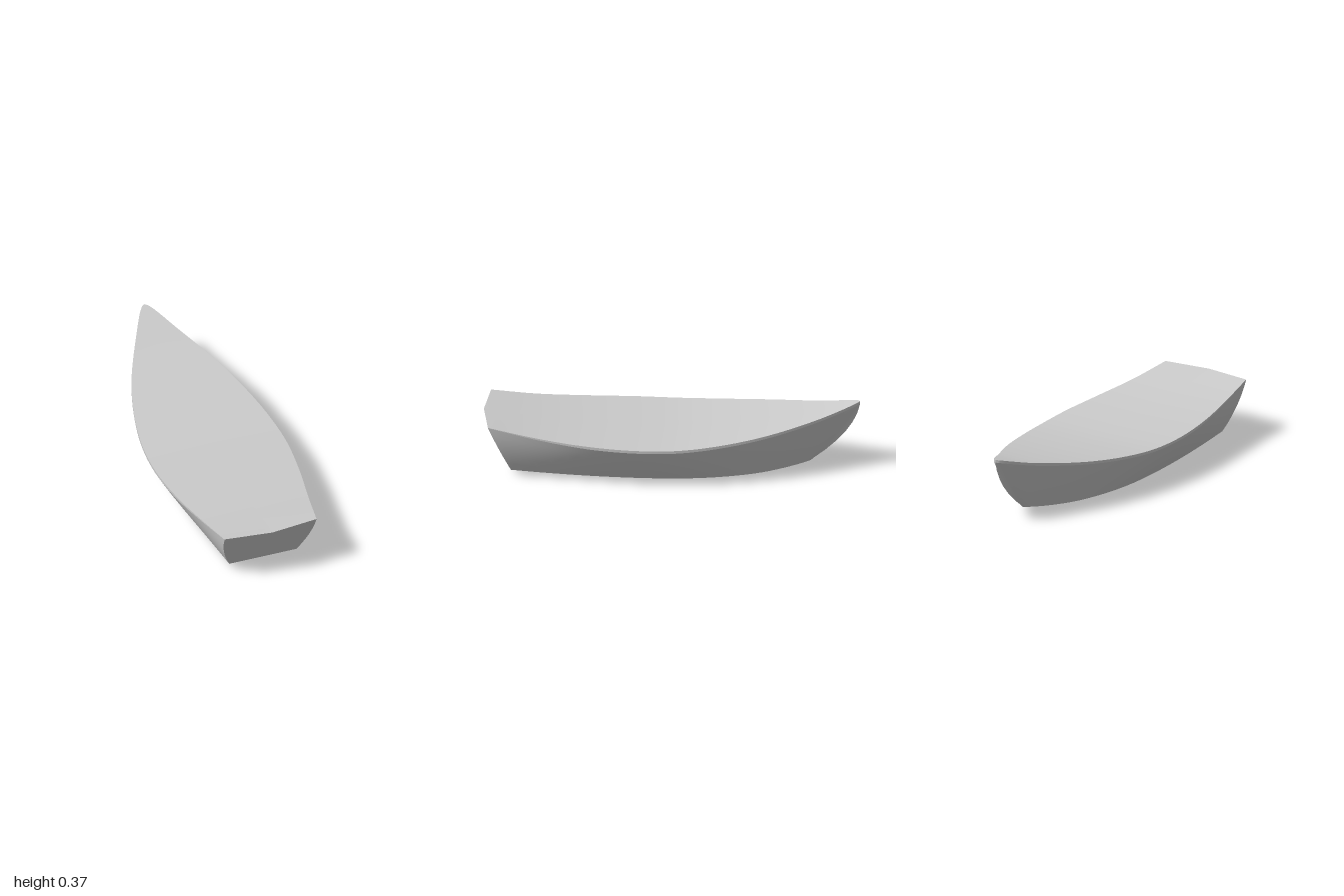
import * as THREE from 'three';

const V = (x, y, z) => new THREE.Vector3(x, y, z);
const curve = (pts) => new THREE.CatmullRomCurve3(pts.map((p) => V(...p)));

// Left edge lines of the hull, running from stern to bow
const sheer = curve([
  [0.26, 0.3, 0.97], [0.3, 0.263, 0.73], [0.345, 0.238, 0.47], [0.371, 0.225, 0.2], [0.362, 0.223, -0.03],
  [0.325, 0.237, -0.25], [0.25, 0.268, -0.51], [0.12, 0.32, -0.8], [0.02, 0.369, -0.985], [0, 0.372, -1],
]);
const chine = curve([
  [0.19, 0.03, 0.85], [0.21, 0.023, 0.65], [0.23, 0.017, 0.4], [0.24, 0.013, 0.12], [0.233, 0.012, -0.1],
  [0.2, 0.012, -0.3], [0.14, 0.012, -0.48], [0.06, 0.022, -0.65], [0.01, 0.034, -0.74], [0, 0.036, -0.745],
]);

// Lower edge of the rail, fading out at the stern
const railFoot = (t) => {
  const p = sheer.getPoint(t);
  p.y -= 0.002 + 0.013 * Math.min(1, t * 4);
  return p;
};

// Side planking: bulged slightly at the stern and along the curved stem
const side = (t, v) => {
  const p = railFoot(t).lerp(chine.getPoint(t), v);
  const bulge = 4 * v * (1 - v);
  p.x += bulge * 0.016 * (1 - t) ** 2;
  p.z -= bulge * 0.05 * t ** 8;
  return p;
};

const deck = (t, v) => {
  const p = sheer.getPoint(t);
  const z = p.z + 0.03 * (1 - v) * Math.max(0, 1 - t * 9);
  return V(p.x * v, p.y, z);
};

const bottom = (t, v) => {
  const p = chine.getPoint(t);
  return V(p.x * (1 - v), p.y - v * 0.0125 * Math.sin(Math.PI * t), p.z);
};

// Transom: raked back, with a shallow ridge on the centre line
const transom = (u, v) => {
  const edge = u === 0 ? sheer.getPoint(0) : side(0, u);
  return edge.lerp(V(0, edge.y, 0.85 + 0.15 * (edge.y - 0.03) / 0.27), v);
};

// Grid surface over one half of the hull plus its mirror image
function mirrored(name, fn, nu, nv) {
  const group = new THREE.Group();
  group.name = name;
  for (const s of [1, -1]) {
    const pos = [], index = [];
    for (let i = 0; i <= nu; i++) {
      for (let j = 0; j <= nv; j++) {
        const p = fn(i / nu, j / nv);
        pos.push(s * p.x, p.y, p.z);
        if (i === nu || j === nv) continue;
        const a = i * (nv + 1) + j, b = a + 1, c = a + nv + 1, d = c + 1;
        if (s > 0) index.push(a, b, c, b, d, c);
        else index.push(a, c, b, b, c, d);
      }
    }
    const geo = new THREE.BufferGeometry();
    geo.setAttribute('position', new THREE.Float32BufferAttribute(pos, 3));
    geo.setIndex(index);
    geo.computeVertexNormals();
    const mesh = new THREE.Mesh(geo, new THREE.MeshStandardMaterial({ color: 0xcccccc }));
    mesh.name = name + (s > 0 ? 'Left' : 'Right');
    group.add(mesh);
  }
  return group;
}

export function createModel() {
  const boat = new THREE.Group();
  boat.name = 'boat';
  boat.add(
    mirrored('deck', deck, 45, 1),
    mirrored('rail', (t, v) => sheer.getPoint(t).lerp(railFoot(t), v), 45, 1),
    mirrored('hullSide', side, 45, 6),
    mirrored('hullBottom', bottom, 45, 1),
    mirrored('transom', transom, 6, 1),
  );
  return boat;
}
